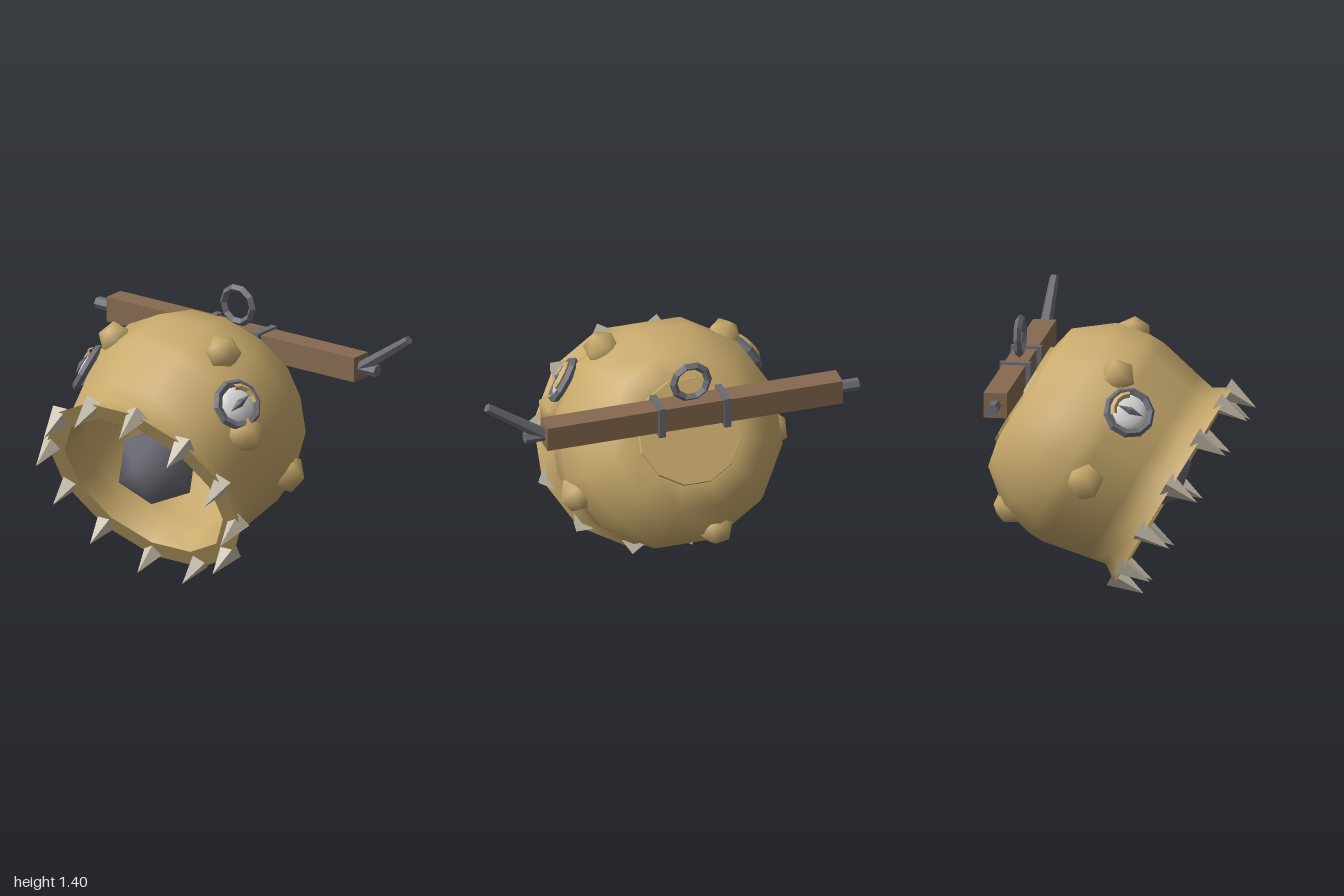
import * as THREE from 'three';

const mat = (name, color, extra = {}) =>
  Object.assign(new THREE.MeshStandardMaterial({ color }), { name, ...extra });

export function createModel() {
  const brass = mat('brass', 0xc8aa6c);
  const iron = mat('iron', 0x6b6b75);
  const wood = mat('wood', 0x866a50);
  const bone = mat('bone', 0xc9c0ae);
  const white = mat('eye white', 0xdedede);

  const model = new THREE.Group();
  model.name = 'monsterBell';
  const CX = -0.105, SIDES = 12, TURN = Math.PI / 12;

  const add = (parent, name, geo, material, pos = [0, 0, 0]) => {
    const m = new THREE.Mesh(geo, material);
    m.name = name;
    m.position.set(...pos);
    parent.add(m);
    return m;
  };
  const flat = (geo) => {
    const g = geo.index ? geo.toNonIndexed() : geo;
    g.computeVertexNormals();
    return g;
  };
  // icosahedron with smooth normals
  const lump = (r) => {
    const g = new THREE.IcosahedronGeometry(1, 0);
    g.attributes.normal.copy(g.attributes.position);
    return g.scale(r, r, r);
  };

  // Bell, tilted so its mouth faces forward and down
  const bell = new THREE.Group();
  bell.name = 'bell';
  bell.position.set(CX, 0.55, 0.27);
  bell.rotation.x = -Math.PI / 3;
  model.add(bell);
  const lathe = (name, pts) => add(bell, name,
    new THREE.LatheGeometry(pts.map((p) => new THREE.Vector2(...p)), SIDES, TURN), brass);
  lathe('bellOutside', [[0.583, 0], [0.525, 0.09], [0.542, 0.18], [0.592, 0.42],
    [0.592, 0.5], [0.553, 0.68], [0.41, 0.86], [0.28, 0.888], [0, 0.888]]);
  lathe('bellRim', [[0.475, 0], [0.583, 0]]);
  lathe('bellInside', [[0, 0.82], [0.3, 0.8], [0.45, 0.65], [0.5, 0.45], [0.47, 0.2],
    [0.44, 0.09], [0.475, 0]]);
  add(bell, 'crownPlate',
    flat(new THREE.CylinderGeometry(0.275, 0.285, 0.03, SIDES, 1, false, TURN)), brass, [0, 0.888, 0]);

  // Clapper
  add(bell, 'clapperRod', flat(new THREE.CylinderGeometry(0.04, 0.04, 0.7, 6)), iron, [0, 0.48, 0]);
  const ball = add(model, 'clapperBall', lump(0.215), iron, [-0.11, 0.62, 0.15]);
  ball.rotation.set(0.3, 0.2, 0.25);

  // Teeth around the rim
  const tooth = flat(new THREE.ConeGeometry(0.062, 0.185, 4).rotateX(Math.PI));
  for (let i = 0; i < SIDES; i++) {
    const a = TURN + (i * Math.PI * 2) / SIDES;
    const t = add(bell, 'tooth', tooth, bone, [0.553 * Math.sin(a), -0.062, 0.553 * Math.cos(a)]);
    t.rotation.y = a;
  }

  // Warts
  [[0.2, 1.255, 0.01, 0.098], [-0.46, 1.2, 0.04, 0.092], [0.41, 0.885, 0.1, 0.103],
    [0.41, 0.58, -0.25, 0.103], [-0.23, 0.44, -0.55, 0.1], [-0.665, 0.69, -0.1, 0.1],
  ].forEach(([x, y, z, r], i) => {
    add(model, 'wart', lump(r), brass, [x, y, z]).rotation.set(i * 0.9, i * 1.3, i * 0.5);
  });

  // Eyes, mirrored about the bell's middle
  for (const side of [1, -1]) {
    const half = new THREE.Group();
    half.name = side > 0 ? 'leftEye' : 'rightEye';
    const eye = new THREE.Group();
    eye.name = 'eye';
    eye.lookAt(0.8, 0.48, 0.36);
    eye.position.set(0.468, 1.035, 0.11);
    half.add(eye);
    add(eye, 'eyeRing', flat(new THREE.TorusGeometry(0.112, 0.023, 5, 10)), iron, [0, 0, 0.012]);
    add(eye, 'eyeball', new THREE.SphereGeometry(0.1, 12, 8).scale(1, 1, 0.4), white, [0, 0, 0.005]);
    const pupil = add(eye, 'pupil',
      flat(new THREE.OctahedronGeometry(1, 0).scale(0.072, 0.02, 0.015)), iron, [0, 0, 0.047]);
    pupil.rotation.z = 0.5;
    const lid = add(eye, 'eyelid',
      flat(new THREE.TorusGeometry(0.088, 0.017, 4, 4, 1.75)), brass, [0, 0, 0.04]);
    lid.rotation.z = -0.1;
    half.position.x = CX;
    half.scale.x = side;
    model.add(half);
  }

  // Wooden beam with iron fittings
  const BY = 1.13, BZ = -0.525;
  add(model, 'beam', new THREE.BoxGeometry(1.58, 0.13, 0.12), wood, [-0.11, BY, BZ]);
  for (const x of [-0.28, 0.07])
    add(model, 'beamStrap', new THREE.BoxGeometry(0.035, 0.165, 0.16), iron, [x, BY - 0.005, BZ + 0.005]);
  add(model, 'axle', flat(new THREE.CylinderGeometry(0.032, 0.032, 1.785, 6).rotateZ(Math.PI / 2)),
    iron, [-0.1075, BY, BZ]);
  add(model, 'hangingRing', flat(new THREE.TorusGeometry(0.092, 0.021, 4, 10)), iron, [CX, 1.3, BZ]);
  const crank = add(model, 'crankHandle', flat(new THREE.CylinderGeometry(0.024, 0.034, 0.36, 6)),
    iron, [0.837, 1.238, BZ]);
  crank.rotation.z = -Math.atan2(0.29, 0.2);

  return model;
}
